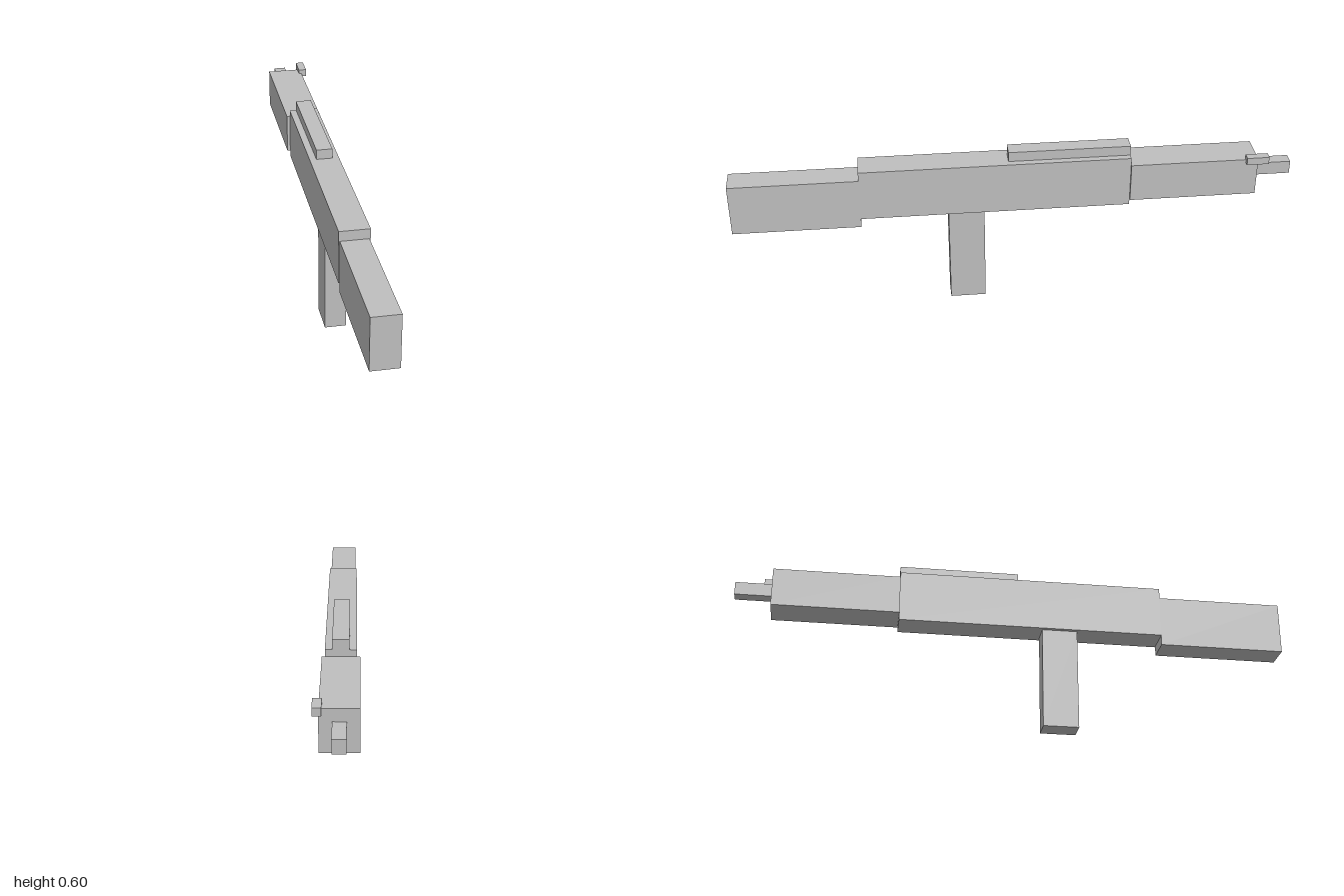
import * as THREE from 'three';

export function createModel() {
  const group = new THREE.Group();
  const grey = new THREE.MeshStandardMaterial({ color: 0xbfbfbf });
  grey.name = 'plain grey';

  // Adds a box from its [min, max] extent on each axis
  function addBox(name, [x0, x1], [y0, y1], [z0, z1]) {
    const mesh = new THREE.Mesh(new THREE.BoxGeometry(x1 - x0, y1 - y0, z1 - z0), grey);
    mesh.position.set((x0 + x1) / 2, (y0 + y1) / 2, (z0 + z1) / 2);
    mesh.name = name;
    group.add(mesh);
  }

  // Main run, front to back
  addBox('stock', [-0.059, 0.038], [0.338, 0.528], [0.546, 1]);
  addBox('body', [-0.063, 0.042], [0.374, 0.564], [-0.413, 0.546]);
  addBox('handguard', [-0.074, 0.052], [0.397, 0.54], [-0.868, -0.413]);
  addBox('barrel', [-0.033, 0.011], [0.45, 0.498], [-1, -0.868]);

  // Attachments
  addBox('topRail', [-0.039, 0.018], [0.564, 0.6], [-0.413, 0.02]);
  addBox('sideSight', [0.042, 0.071], [0.529, 0.556], [-0.902, -0.823]);
  addBox('grip', [-0.049, 0.027], [0, 0.374], [0.107, 0.235]);

  return group;
}
